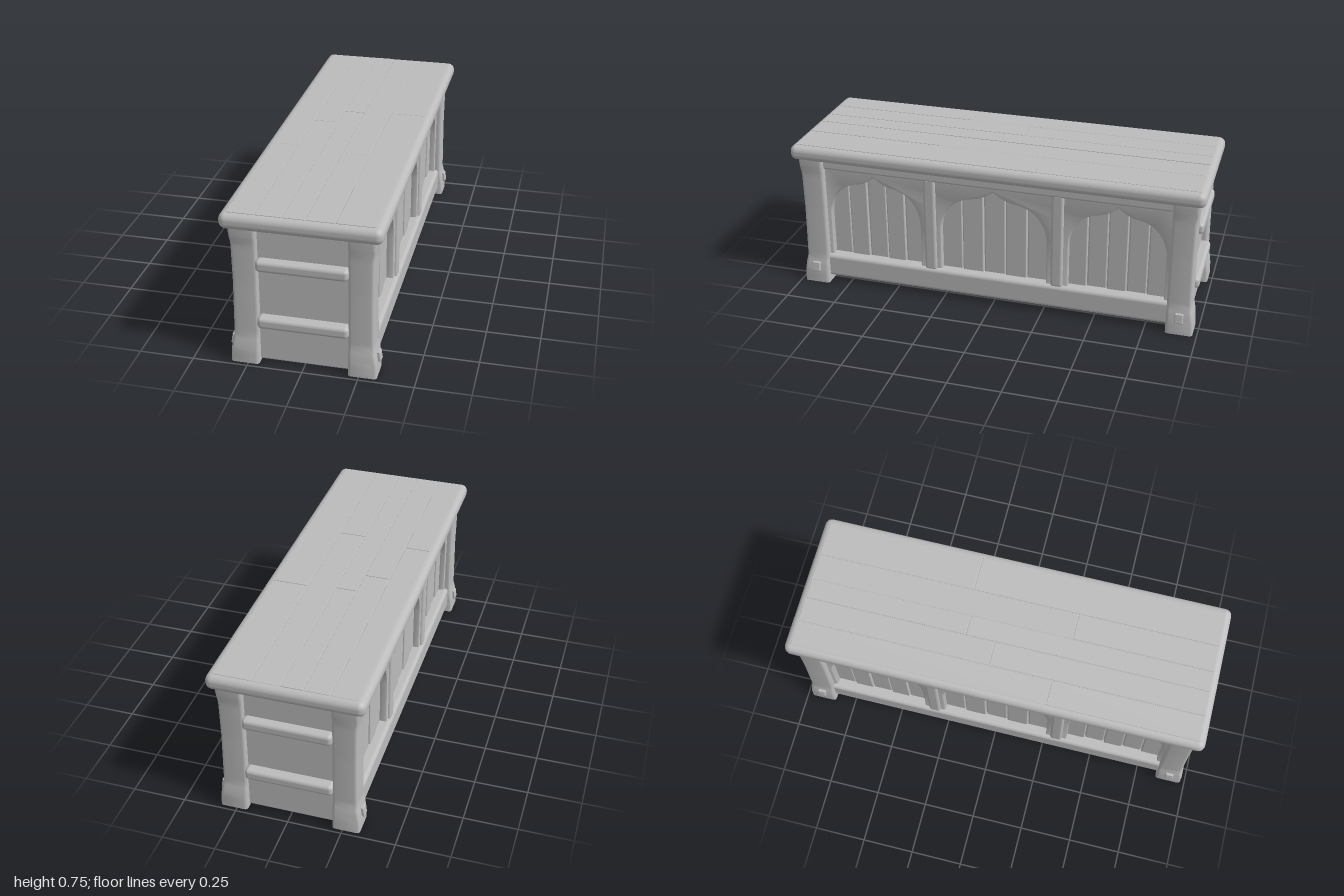
import * as THREE from 'three';
import { toCreasedNormals } from 'three/addons/utils/BufferGeometryUtils.js';
import { RoundedBoxGeometry } from 'three/addons/geometries/RoundedBoxGeometry.js';

const stone = new THREE.MeshStandardMaterial({ color: 0xbcbcbc });
stone.name = 'worn grey';

function add(parent, name, geometry) {
  const mesh = new THREE.Mesh(geometry, stone);
  mesh.name = name;
  parent.add(mesh);
  return mesh;
}

// Softly rounded block given by its minimum and maximum corners
function block(parent, name, [x0, y0, z0], [x1, y1, z1], r = 0.012) {
  const g = new RoundedBoxGeometry(x1 - x0, y1 - y0, z1 - z0, 3, r);
  return add(parent, name, g.translate((x0 + x1) / 2, (y0 + y1) / 2, (z0 + z1) / 2));
}

// Linear lookup in [height, value] pairs
function profile(points, y) {
  for (let i = 1; i < points.length; i++) {
    const [ya, a] = points[i - 1], [yb, b] = points[i];
    if (y <= yb) return a + (b - a) * Math.max(0, (y - ya) / (yb - ya));
  }
  return points[points.length - 1][1];
}

// Corner post whose outer sides flare at foot and head
const postWidth = [[0, 0.13], [0.06, 0.128], [0.1, 0.123], [0.14, 0.115],
  [0.4, 0.112], [0.59, 0.114], [0.63, 0.12], [0.68, 0.122]];

function post(sx, sz) {
  const r = 0.13, s = new THREE.Shape();
  s.moveTo(r, 0).lineTo(1 - r, 0).quadraticCurveTo(1, 0, 1, r);
  s.lineTo(1, 1 - r).quadraticCurveTo(1, 1, 1 - r, 1);
  s.lineTo(r, 1).quadraticCurveTo(0, 1, 0, 1 - r);
  s.lineTo(0, r).quadraticCurveTo(0, 0, r, 0);
  const g = new THREE.ExtrudeGeometry(s, { depth: 0.68, steps: 34, bevelEnabled: false, curveSegments: 4 });
  g.rotateX(-Math.PI / 2).translate(0, 0, 1);
  const p = g.attributes.position;
  for (let i = 0; i < p.count; i++) {
    const w = profile(postWidth, p.getY(i));
    const u = sx > 0 ? p.getX(i) : 1 - p.getX(i);
    const v = sz > 0 ? p.getZ(i) : 1 - p.getZ(i);
    p.setX(i, sx * (0.2 + u * w));
    p.setZ(i, sz * (0.85 + v * w));
  }
  return toCreasedNormals(g, 0.7);
}

// Pointed ogee arch outline
function arch(cx, hw) {
  const h = new THREE.Path();
  h.moveTo(cx - hw, 0.12).lineTo(cx - hw, 0.38);
  h.quadraticCurveTo(cx - hw * 0.93, 0.52, cx - hw * 0.45, 0.55);
  h.quadraticCurveTo(cx - hw * 0.2, 0.555, cx, 0.605);
  h.quadraticCurveTo(cx + hw * 0.2, 0.555, cx + hw * 0.45, 0.55);
  h.quadraticCurveTo(cx + hw * 0.93, 0.52, cx + hw, 0.38);
  h.lineTo(cx + hw, 0.12);
  h.closePath();
  return h;
}

// Long side, built with local +z pointing outwards
function longSide() {
  const side = new THREE.Group();
  const arches = [[-0.6, 0.24], [0, 0.27], [0.6, 0.24]];
  const s = new THREE.Shape();
  s.moveTo(-0.87, 0.04).lineTo(0.87, 0.04).lineTo(0.87, 0.66).lineTo(-0.87, 0.66).closePath();
  s.holes = arches.map(([c, w]) => arch(c, w));
  const frame = new THREE.ExtrudeGeometry(s, {
    depth: 0.037, bevelThickness: 0.008, bevelSize: 0.008, bevelSegments: 2, curveSegments: 8 });
  add(side, 'archFrame', toCreasedNormals(frame.translate(0, 0, 0.24), 0.6));
  block(side, 'bottomRail', [-0.87, 0.03, 0.23], [0.87, 0.15, 0.305], 0.02);
  block(side, 'topRail', [-0.87, 0.615, 0.23], [0.87, 0.68, 0.3]);
  for (const x of [-0.315, 0.315]) {
    block(side, 'stile', [x - 0.03, 0.14, 0.23], [x + 0.03, 0.63, 0.298], 0.014);
  }
  // Vertical boards behind each arch
  arches.forEach(([c, w], a) => {
    const n = 5, step = (2 * w) / n;
    for (let i = 0; i < n; i++) {
      const x = c - w + i * step, out = 0.25 + 0.003 * ((i * 2 + a) % 4);
      block(side, 'archBoard', [x + 0.002, 0.1, 0.215], [x + step - 0.002, 0.62, out], 0.006);
    }
  });
  return side;
}

// Short end, built with local +z pointing outwards
function shortEnd() {
  const end = new THREE.Group();
  block(end, 'lowerPanel', [-0.21, 0.008, 0.87], [0.21, 0.2, 0.945], 0.008);
  block(end, 'middlePanel', [-0.21, 0.2, 0.87], [0.21, 0.5, 0.935], 0.008);
  block(end, 'upperPanel', [-0.21, 0.5, 0.87], [0.21, 0.68, 0.94], 0.008);
  for (const y of [0.185, 0.47]) {
    block(end, 'endRail', [-0.204, y, 0.9], [0.204, y + 0.055, 0.982], 0.018);
  }
  return end;
}

export function createModel() {
  const model = new THREE.Group();
  model.name = 'chest';
  block(model, 'core', [-0.24, 0.03, -0.9], [0.24, 0.69, 0.9], 0.005);
  block(model, 'floor', [-0.29, 0.03, -0.9], [0.29, 0.08, 0.9], 0.005);

  // Lid with slightly uneven boards
  block(model, 'lid', [-0.355, 0.668, -1], [0.355, 0.742, 1], 0.032);
  const edges = [-0.325, -0.2, -0.08, 0.02, 0.15, 0.325];
  for (let i = 0; i < edges.length - 1; i++) {
    const cut = 0.3 * Math.sin(i * 2.3 + 1), top = 0.7435 + 0.0008 * (i % 3);
    block(model, 'lidBoard', [edges[i] + 0.002, 0.737, -0.97], [edges[i + 1] - 0.002, top, cut - 0.002], 0.002);
    block(model, 'lidBoard', [edges[i] + 0.002, 0.737, cut + 0.002], [edges[i + 1] - 0.002, 0.745, 0.97], 0.002);
  }

  for (const s of [1, -1]) {
    const side = longSide();
    side.name = s > 0 ? 'leftSide' : 'rightSide';
    side.rotation.y = s * Math.PI / 2;
    const end = shortEnd();
    end.name = s > 0 ? 'frontEnd' : 'backEnd';
    end.rotation.y = s > 0 ? 0 : Math.PI;
    model.add(side, end);
    for (const z of [1, -1]) {
      add(model, 'cornerPost', post(s, z));
      // Square peg on each foot
      const peg = block(model, 'footPeg', [-0.02, -0.025, -0.02], [0.02, 0.025, 0.02], 0.005);
      peg.position.set(s * 0.318, 0.085, z * 0.913);
      peg.rotation.z = s * 0.15;
    }
  }
  return model;
}
